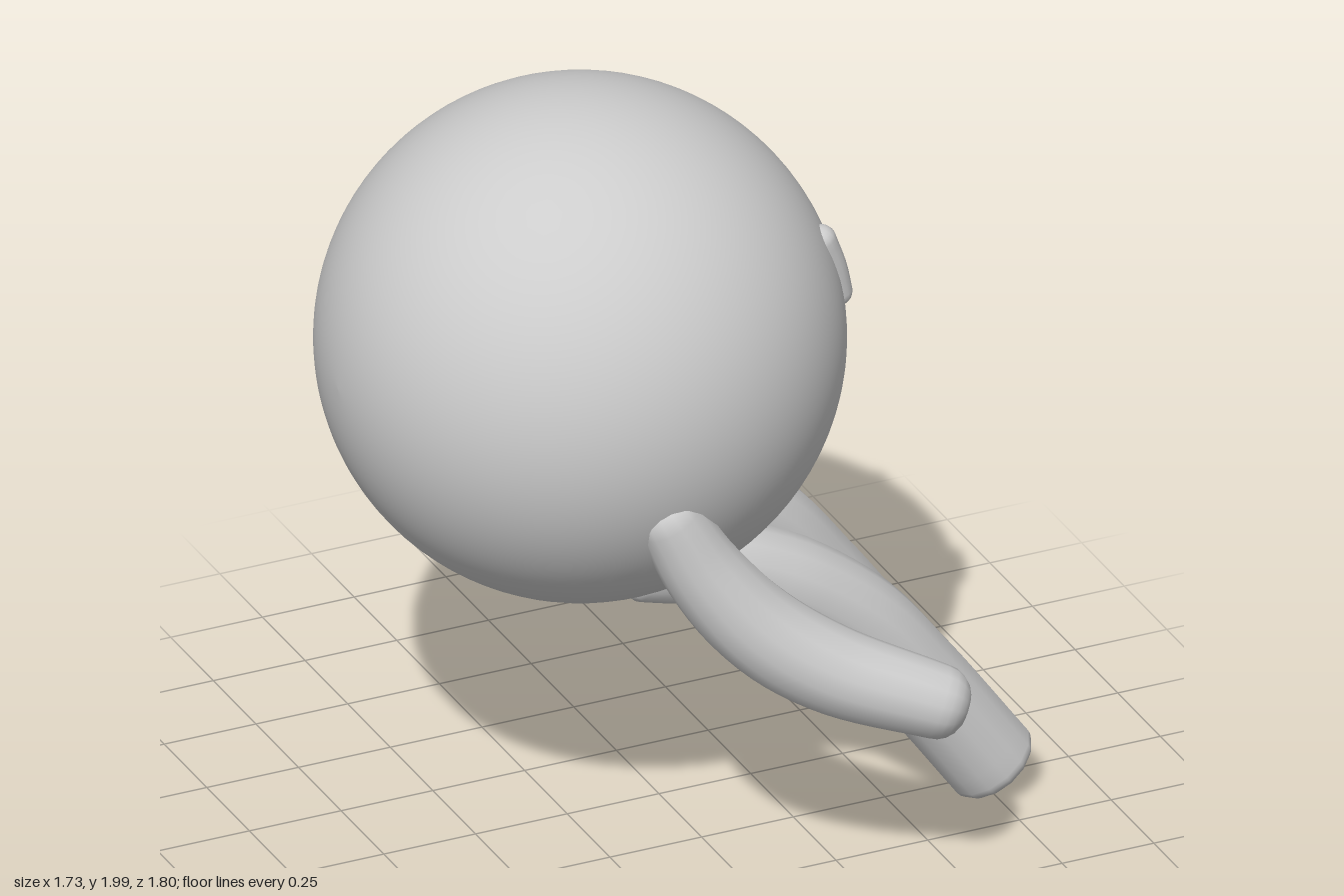
import * as THREE from 'three';

const HEAD = new THREE.Vector3(-0.215, 1.34, 0);
const R = 0.66;

// Skin closed rings of points (all the same length) into a smooth surface
function loft(rings) {
  const n = rings[0].length;
  const pos = [], idx = [];
  rings.forEach(ring => ring.forEach(p => pos.push(p.x, p.y, p.z)));
  for (let i = 0; i < rings.length - 1; i++) {
    for (let j = 0; j < n; j++) {
      const k = (j + 1) % n;
      const a = i * n + j, c = i * n + k;
      idx.push(a, c, a + n, c, c + n, a + n);
    }
  }
  const g = new THREE.BufferGeometry();
  g.setAttribute('position', new THREE.Float32BufferAttribute(pos, 3));
  g.setIndex(idx);
  g.computeVertexNormals();
  return g;
}

// Limb along a path, with both ends rounded by a bevel
function limb(points, radiusAt, bevel, sides = 14, steps = 24) {
  const curve = new THREE.CatmullRomCurve3(points);
  const f = curve.computeFrenetFrames(steps);
  const rings = [];
  const ring = (i, r, shift) => {
    const c = curve.getPointAt(i / steps).addScaledVector(f.tangents[i], shift);
    rings.push(Array.from({ length: sides }, (_, j) => {
      const a = j / sides * Math.PI * 2;
      return c.clone()
        .addScaledVector(f.normals[i], r * Math.cos(a))
        .addScaledVector(f.binormals[i], r * Math.sin(a));
    }));
  };
  const cap = (i, dir) => {
    const r = radiusAt(i / steps), caps = [];
    for (let k = 1; k <= 5; k++) {
      const a = k / 5 * Math.PI / 2;
      caps.push([r - bevel + bevel * Math.cos(a), dir * bevel * Math.sin(a)]);
    }
    caps.push([0.0005, dir * bevel * 1.05]);
    if (dir < 0) caps.reverse();
    caps.forEach(([rad, s]) => ring(i, rad, s));
  };
  cap(0, -1);
  for (let i = 0; i <= steps; i++) ring(i, radiusAt(i / steps), 0);
  cap(steps, 1);
  return loft(rings);
}

// Mouth outline: squarish above, round below
function mouthRadius(phi) {
  const up = Math.sin(phi) > 0;
  const n = up ? 8 : 2.7, h = up ? 0.1 : 0.14;
  return Math.pow(Math.abs(Math.cos(phi) / 0.122) ** n + Math.abs(Math.sin(phi) / h) ** n, -1 / n);
}

const SEG = 96;
const around = fn => Array.from({ length: SEG }, (_, j) => fn(j / SEG * Math.PI * 2));

// Round head, open at the mouth
function headGeometry() {
  const rings = [];
  for (let i = 0; i <= 48; i++) {
    rings.push(around(phi => {
      const start = Math.asin(mouthRadius(phi) / R);
      const t = start + (Math.PI - 0.001 - start) * i / 48;
      return new THREE.Vector3(
        Math.cos(t), Math.sin(t) * Math.sin(phi), Math.sin(t) * Math.cos(phi)
      ).multiplyScalar(R).add(HEAD);
    }));
  }
  return loft(rings);
}

// Hollow of the mouth: steep under the upper lip, sloping at the bottom
function mouthGeometry() {
  const rings = [];
  for (let i = 0; i <= 16; i++) {
    const s = Math.max(0.002, Math.sin(i / 16 * Math.PI / 2));
    rings.push(around(phi => {
      const rho = mouthRadius(phi);
      const k = 5 + 4 * Math.sin(phi);
      const rim = Math.sqrt(R * R - rho * rho * s * s);
      const depth = 0.075 * (1 - s ** k);
      return new THREE.Vector3(rim - depth, rho * s * Math.sin(phi), rho * s * Math.cos(phi)).add(HEAD);
    }));
  }
  return loft(rings);
}

export function createModel() {
  const model = new THREE.Group();
  const grey = new THREE.MeshStandardMaterial({ color: 0xcccccc });
  grey.name = 'plain grey';
  const add = (name, geometry) => {
    const mesh = new THREE.Mesh(geometry, grey);
    mesh.name = name;
    model.add(mesh);
    return mesh;
  };

  add('head', headGeometry());
  add('mouth', mouthGeometry());

  // Paired parts, mirrored across z
  for (const side of [1, -1]) {
    const label = side > 0 ? 'near' : 'far';
    const path = pts => pts.map(([x, y, z]) => new THREE.Vector3(x, y, z * side));

    add(label + 'Eye', limb(
      path([[0.388, 1.435, 0.213], [0.368, 1.51, 0.215], [0.336, 1.59, 0.216]]),
      t => 0.037 + 0.007 * t, 0.036, 16, 8));

    add(label + 'Arm', limb(
      path([[-0.235, 1.11, 0.57], [-0.15, 0.95, 0.59], [-0.02, 0.785, 0.635], [0.14, 0.67, 0.7], [0.385, 0.575, 0.81]]),
      t => 0.085 + 0.025 * Math.sin(Math.PI * t) + 0.01 * t, 0.075));

    add(label + 'Leg', limb(
      path([[-0.16, 0.82, 0.26], [0.1, 0.755, 0.268], [0.39, 0.565, 0.285], [0.56, 0.36, 0.3], [0.752, 0.095, 0.315]]),
      t => 0.1 + 0.02 * Math.min(1, t * 3), 0.04));
  }
  return model;
}
